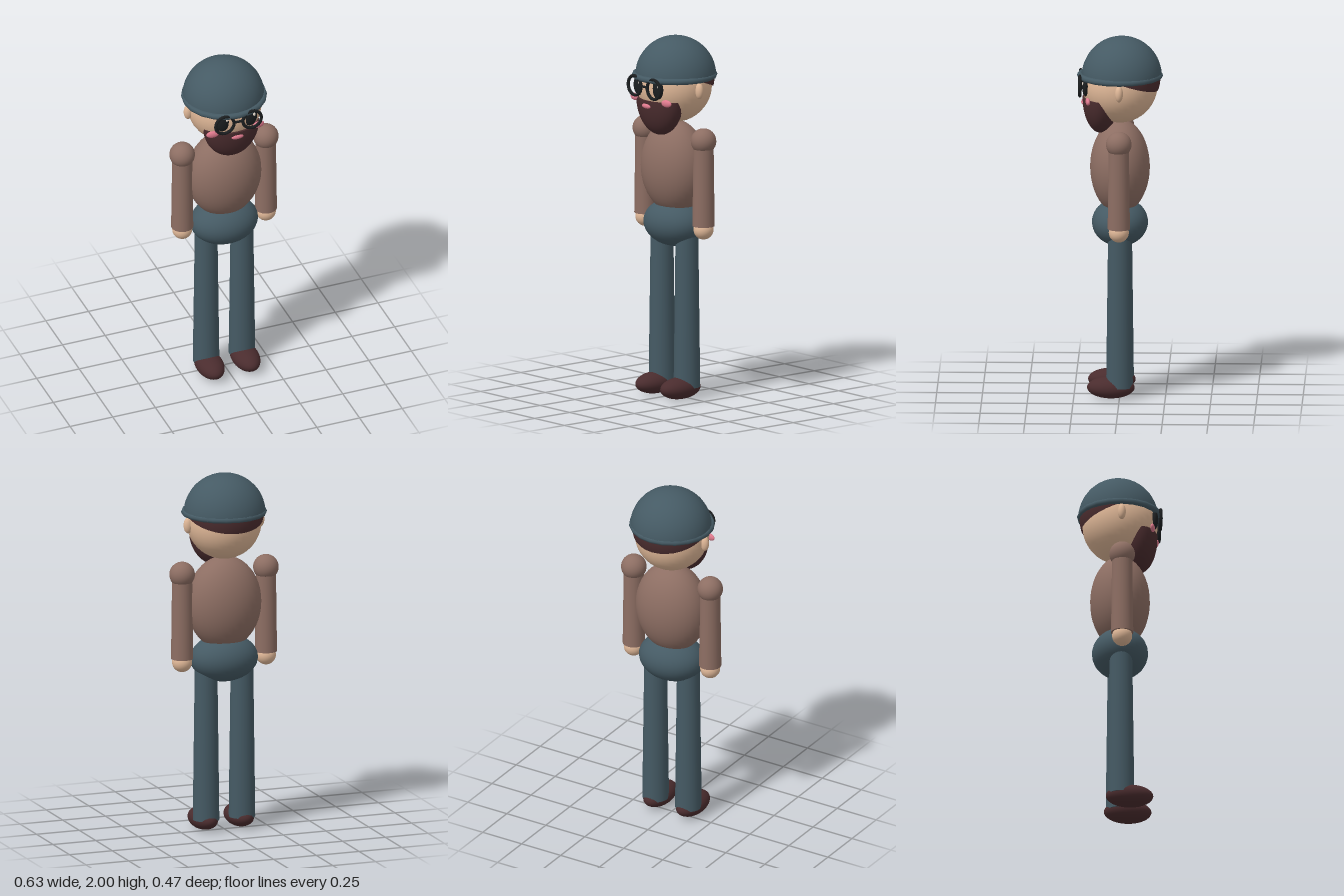
import * as THREE from 'three';

export function createModel() {
  const model = new THREE.Group();
  model.name = 'beardedMan';

  const mat = (name, color, side = THREE.FrontSide) => {
    const m = new THREE.MeshStandardMaterial({ color, side });
    m.name = name;
    return m;
  };
  const slate = mat('slateCloth', 0x455a64, THREE.DoubleSide);
  const brown = mat('brownShirt', 0x8d6e63);
  const skin = mat('skin', 0xdfb797);
  const dark = mat('darkBrown', 0x4a2c2e, THREE.DoubleSide);
  const black = mat('black', 0x1b1e20);
  const pink = mat('pink', 0xe07a8e);
  const white = mat('eyeGlint', 0xe8dcd0);

  const add = (name, geometry, material, x, y, z) => {
    const mesh = new THREE.Mesh(geometry, material);
    mesh.name = name;
    mesh.position.set(x, y, z);
    model.add(mesh);
    return mesh;
  };
  // Ellipsoid, optionally only between two polar angles
  const ellipsoid = (rx, ry, rz, from = 0, to = Math.PI) =>
    new THREE.SphereGeometry(1, 32, 24, 0, Math.PI * 2, from, to - from).scale(rx, ry, rz);

  // Body
  add('torso', ellipsoid(0.21, 0.26, 0.163), brown, 0, 1.275, 0);
  add('hips', ellipsoid(0.19, 0.13, 0.153), slate, 0, 0.965, 0);

  // Head, with hair sloping down at the back
  add('head', ellipsoid(0.205, 0.205, 0.205), skin, 0, 1.73, 0);
  const hair = add('hair', ellipsoid(0.213, 0.213, 0.213, 0, Math.PI / 2), dark, 0, 1.775, -0.008);
  hair.rotation.x = -0.33;
  add('beard', ellipsoid(0.16, 0.2, 0.1, Math.PI / 2, Math.PI), dark, 0, 1.665, 0.105);
  // Lid of the beard
  const lid = add('beardTop', new THREE.CircleGeometry(1, 32), dark, 0, 1.665, 0.105);
  lid.scale.set(0.16, 0.1, 1);
  lid.rotation.x = -Math.PI / 2;
  add('mouth', ellipsoid(0.036, 0.014, 0.012), pink, 0, 1.635, 0.2);

  // Cap
  add('capDome', ellipsoid(0.225, 0.222, 0.219, 0, Math.PI / 2), slate, 0, 1.778, -0.01);
  const rim = add('capRim', new THREE.TorusGeometry(0.218, 0.017, 8, 20), slate, 0, 1.786, 0);
  rim.rotation.x = Math.PI / 2;

  // Glasses bridge
  const bridge = add('glassesBridge', new THREE.CylinderGeometry(0.007, 0.007, 0.05, 8), black, 0, 1.745, 0.217);
  bridge.rotation.z = Math.PI / 2;

  for (const [side, s] of [['left', 1], ['right', -1]]) {
    // Face details
    add(side + 'Ear', ellipsoid(0.025, 0.045, 0.022), skin, s * 0.21, 1.725, 0);
    add(side + 'Eye', ellipsoid(0.04, 0.055, 0.018), black, s * 0.08, 1.738, 0.186);
    add(side + 'Glint', ellipsoid(0.008, 0.01, 0.005), white, s * 0.08 + 0.019, 1.758, 0.2);
    add(side + 'GlassesRing', new THREE.TorusGeometry(0.054, 0.009, 8, 24), black, s * 0.08, 1.741, 0.217);
    const cheek = add(side + 'Cheek', ellipsoid(0.035, 0.02, 0.012), pink, s * 0.135, 1.665, 0.172);
    cheek.rotation.y = s * 0.15;

    // Arm
    add(side + 'Shoulder', ellipsoid(0.07, 0.07, 0.07), brown, s * 0.245, 1.452, 0);
    add(side + 'Arm', new THREE.CylinderGeometry(0.055, 0.061, 0.47, 24), brown, s * 0.245, 1.215, 0);
    add(side + 'Hand', ellipsoid(0.055, 0.055, 0.055), skin, s * 0.245, 0.96, 0);

    // Leg
    add(side + 'Leg', new THREE.CylinderGeometry(0.062, 0.073, 0.87, 24), slate, s * 0.105, 0.5, 0);
    add(side + 'Shoe', ellipsoid(0.075, 0.06, 0.13), dark, s * 0.105, 0.062, 0.047);
  }
  return model;
}
